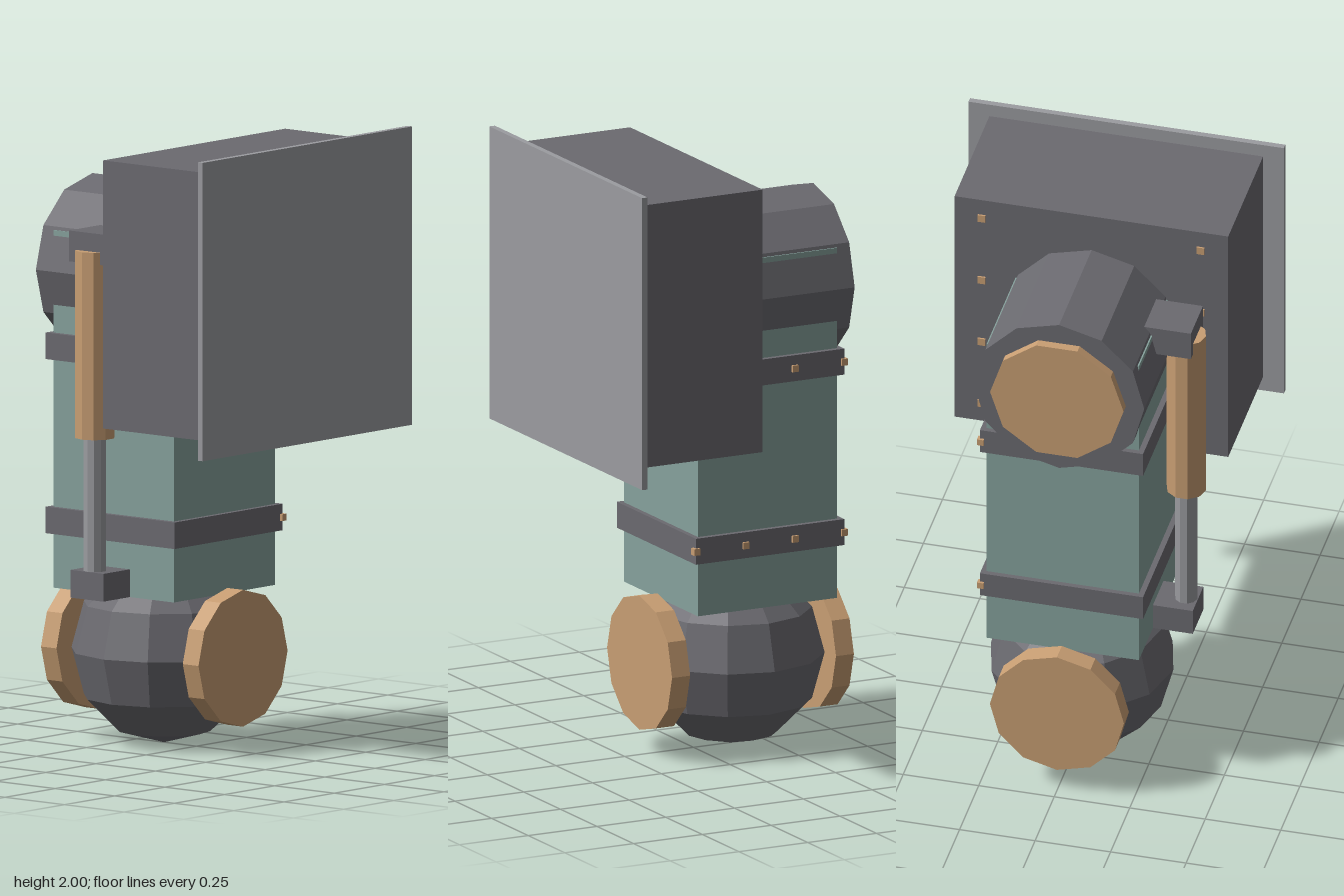
import * as THREE from 'three';

const mat = (name, color) => {
  const m = new THREE.MeshStandardMaterial({ color, flatShading: true });
  m.name = name;
  return m;
};

export function createModel() {
  const teal = mat('teal', 0x86a29d);
  const dark = mat('darkGrey', 0x6b6a70);
  const light = mat('lightGrey', 0x9b9ca0);
  const copper = mat('copper', 0xc89e73);

  const model = new THREE.Group();
  model.name = 'mechanicalArm';
  const armX = -0.135;

  const add = (name, geo, material, x, y, z) => {
    const mesh = new THREE.Mesh(geo, material);
    mesh.name = name;
    mesh.position.set(x, y, z);
    model.add(mesh);
    return mesh;
  };
  // box given by its minimum and maximum on each axis
  const box = (name, material, [x0, x1], [y0, y1], [z0, z1]) =>
    add(name, new THREE.BoxGeometry(x1 - x0, y1 - y0, z1 - z0), material,
      (x0 + x1) / 2, (y0 + y1) / 2, (z0 + z1) / 2);
  // cylinder lying along x
  const drum = (name, material, r, sides, [x0, x1], y) => {
    const geo = new THREE.CylinderGeometry(r, r, x1 - x0, sides).rotateZ(Math.PI / 2);
    return add(name, geo, material, (x0 + x1) / 2, y, 0);
  };
  // upright cylinder of the piston
  const post = (name, material, r, [y0, y1]) =>
    add(name, new THREE.CylinderGeometry(r, r, y1 - y0, 10), material, armX, (y0 + y1) / 2, 0.345);

  // arm body
  box('armBody', teal, [-0.388, 0.118], [0.51, 1.67], [-0.252, 0.252]);

  // lower ball joint with side discs
  add('ballJoint', new THREE.SphereGeometry(0.302, 12, 6), dark, armX, 0.306, 0);
  drum('rightJointDisc', copper, 0.222, 12, [-0.465, -0.4], 0.308);
  drum('leftJointDisc', copper, 0.222, 12, [0.13, 0.196], 0.308);

  // shoulder drum and cap
  drum('shoulderDrum', dark, 0.282, 12, [-0.436, 0.02], 1.54);
  drum('shoulderCap', copper, 0.221, 10, [-0.466, -0.43], 1.54);

  // straps with a row of rivets along the back
  for (const y of [0.73, 1.295]) {
    box('strap', dark, [-0.405, 0.135], [y - 0.043, y + 0.043], [-0.27, 0.27]);
    for (let i = 0; i < 4; i++) {
      add('strapRivet', new THREE.BoxGeometry(0.022, 0.022, 0.022), copper, -0.403 + i * 0.179, y, -0.267);
    }
  }

  // shoulder housing, rivets and outer plate
  box('shoulderHousing', dark, [-0.01, 0.445], [1.085, 1.955], [-0.454, 0.452]);
  box('outerPlate', light, [0.445, 0.465], [1.032, 2], [-0.523, 0.521]);
  for (const z of [-0.364, 0.361]) {
    for (let i = 0; i < 4; i++) {
      add('housingRivet', new THREE.BoxGeometry(0.02, 0.026, 0.026), copper, -0.006, 1.155 + i * 0.2433, z);
    }
  }

  // piston on the front
  box('lowerBracket', dark, [-0.205, -0.067], [0.51, 0.6], [0.24, 0.384]);
  box('upperBracket', dark, [-0.214, -0.056], [1.6, 1.7], [0.2, 0.38]);
  post('pistonRod', light, 0.037, [0.55, 1.1]);
  post('pistonSleeve', copper, 0.065, [1.032, 1.64]);

  return model;
}
